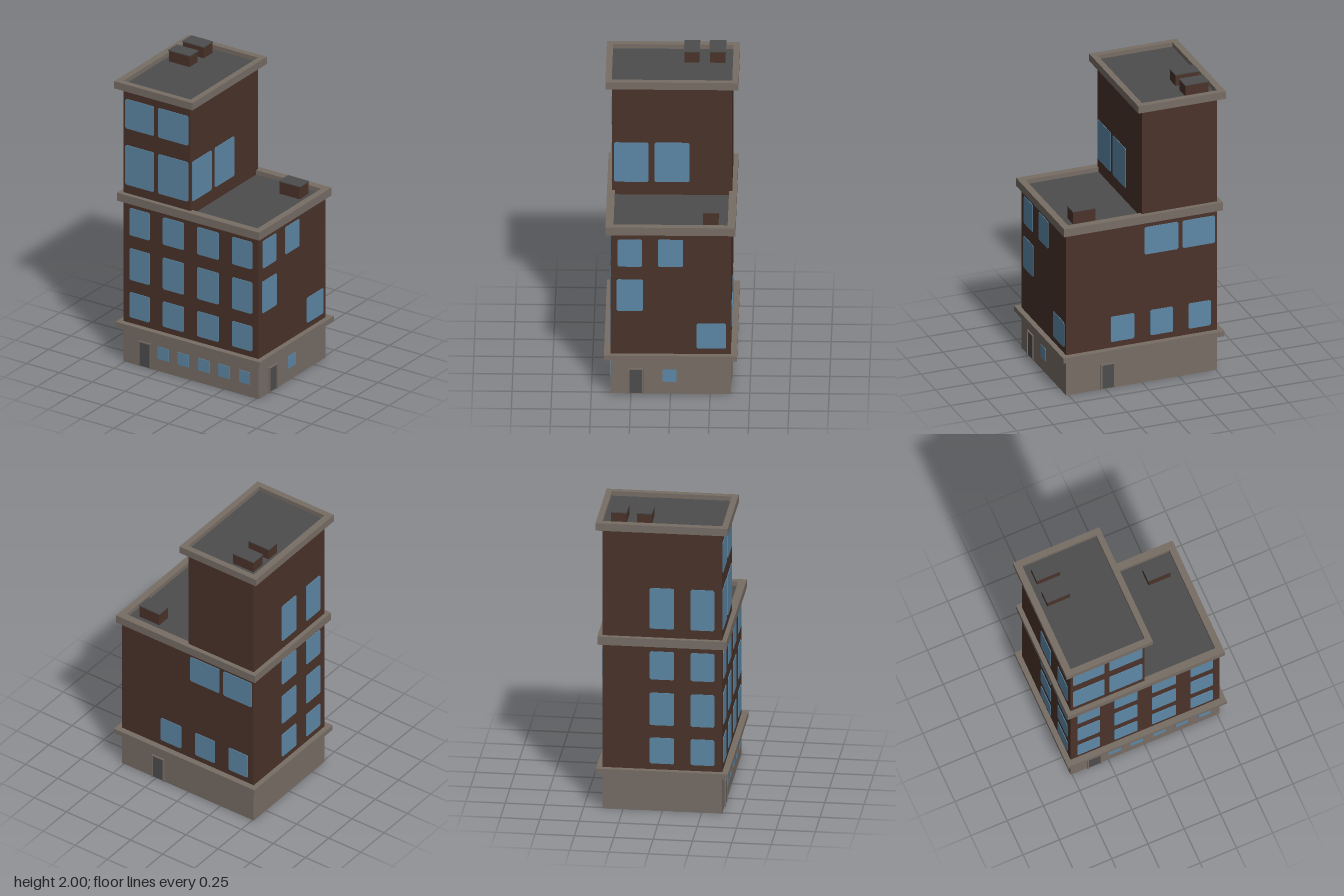
import * as THREE from 'three';

const mat = (name, color) => {
  const m = new THREE.MeshStandardMaterial({ color });
  m.name = name;
  return m;
};

export function createModel() {
  const brick = mat('brick', 0x4a332a);
  const stone = mat('stone', 0x776d65);
  const tar = mat('dark grey', 0x4d4d4d);
  const glass = mat('glass blue', 0x5d88a6);

  const model = new THREE.Group();
  model.name = 'building';

  const add = (name, geometry, material, parent = model) => {
    const mesh = new THREE.Mesh(geometry, material);
    mesh.name = name;
    parent.add(mesh);
    return mesh;
  };
  // Box given by its limits on each axis
  const box = (name, material, [x0, x1], [y0, y1], [z0, z1]) => {
    const mesh = add(name, new THREE.BoxGeometry(x1 - x0, y1 - y0, z1 - z0), material);
    mesh.position.set((x0 + x1) / 2, (y0 + y1) / 2, (z0 + z1) / 2);
    return mesh;
  };
  const rect = (C, x0, x1, z0, z1) => {
    const s = new C();
    s.moveTo(x0, -z1).lineTo(x1, -z1).lineTo(x1, -z0).lineTo(x0, -z0).closePath();
    return s;
  };
  // Hollow rectangular ledge: outer and inner limits are [x0, x1, z0, z1]
  const ledge = (name, y0, y1, outer, inner) => {
    const shape = rect(THREE.Shape, ...outer);
    shape.holes.push(rect(THREE.Path, ...inner));
    const g = new THREE.ExtrudeGeometry(shape, { depth: y1 - y0, bevelEnabled: false });
    g.rotateX(-Math.PI / 2).translate(0, y0, 0);
    return add(name, g, stone);
  };

  // Main masses; the underside of the base is brick
  box('base', [stone, stone, stone, brick, stone, stone], [-0.51, 0.515], [0, 0.26], [-0.38, 0.38]);
  box('middleFloors', brick, [-0.51, 0.515], [0.26, 1.13], [-0.38, 0.38]);
  box('tower', brick, [-0.51, 0], [1.13, 1.91], [-0.38, 0.38]);

  // Ledges and sunken roofs
  ledge('baseLedge', 0.245, 0.28, [-0.545, 0.55, -0.42, 0.42], [-0.5, 0.5, -0.37, 0.37]);
  ledge('lowerParapet', 1.12, 1.175, [-0.54, 0.54, -0.41, 0.41], [-0.49, 0.495, -0.36, 0.36]);
  ledge('towerParapet', 1.9, 1.95, [-0.555, 0.04, -0.42, 0.42], [-0.51, 0, -0.38, 0.38]);
  box('lowerRoof', tar, [-0.005, 0.5], [1.125, 1.145], [-0.365, 0.365]);
  box('towerRoof', tar, [-0.515, 0.005], [1.903, 1.92], [-0.385, 0.385]);

  // Roof vents with dark caps
  const vent = (x0, x1, z0, z1, y0, y1) => {
    box('roofVent', brick, [x0 + 0.004, x1 - 0.004], [y0, y1 - 0.006], [z0 + 0.004, z1 - 0.004]);
    box('ventCap', tar, [x0, x1], [y1 - 0.006, y1], [z0, z1]);
  };
  vent(-0.475, -0.31, -0.335, -0.23, 1.91, 2);
  vent(-0.475, -0.31, -0.17, -0.07, 1.91, 2);
  vent(0.28, 0.44, -0.305, -0.2, 1.13, 1.235);

  // Wall groups: local x runs along the wall, local z points outwards
  const wall = (name, x, z, turn) => {
    const g = new THREE.Group();
    g.name = name;
    g.position.set(x, 0, z);
    g.rotation.y = turn;
    model.add(g);
    return g;
  };
  const front = wall('frontWall', 0, 0.38, 0);
  const back = wall('backWall', 0, -0.38, Math.PI);
  const leftSide = wall('leftWall', 0.515, 0, Math.PI / 2);
  const rightSide = wall('rightWall', -0.51, 0, -Math.PI / 2);
  const tower = wall('towerLeftWall', 0, 0, Math.PI / 2);

  // Thin pane with clipped corners
  const pane = (parent, [a, b], [y0, y1], c = 0.008) => {
    const s = new THREE.Shape();
    s.moveTo(a + c, y0).lineTo(b - c, y0).lineTo(b, y0 + c).lineTo(b, y1 - c);
    s.lineTo(b - c, y1).lineTo(a + c, y1).lineTo(a, y1 - c).lineTo(a, y0 + c).closePath();
    add('window', new THREE.ExtrudeGeometry(s, { depth: 0.004, bevelEnabled: false }), glass, parent);
  };
  const panes = (parent, cols, rows, c) => {
    for (const col of cols) for (const row of rows) pane(parent, col, row, c);
  };
  // Door with a raised stone frame
  const door = (parent, a, b) => {
    const s = new THREE.Shape();
    const t = 0.008, h = 0.175;
    s.moveTo(a, 0).lineTo(a + t, 0).lineTo(a + t, h - t).lineTo(b - t, h - t);
    s.lineTo(b - t, 0).lineTo(b, 0).lineTo(b, h).lineTo(a, h).closePath();
    add('doorFrame', new THREE.ExtrudeGeometry(s, { depth: 0.009, bevelEnabled: false }), stone, parent);
    const leaf = add('door', new THREE.BoxGeometry(b - a - 2 * t, h - t - 0.004, 0.004), tar, parent);
    leaf.position.set((a + b) / 2, (h - t + 0.004) / 2, 0.002);
  };

  // Window rows from the street up
  const street = [0.085, 0.17], first = [0.32, 0.495], second = [0.58, 0.8];
  const third = [0.89, 1.08], fourth = [1.235, 1.51], fifth = [1.625, 1.83];

  panes(front, [[-0.463, -0.31], [-0.21, -0.05], [0.05, 0.215], [0.315, 0.468]], [first, second, third]);
  panes(front, [[-0.495, -0.278], [-0.245, -0.018]], [fourth, fifth]);
  panes(front, [[-0.25, -0.165], [-0.098, -0.013], [0.057, 0.145], [0.21, 0.298], [0.368, 0.452]], [street], 0.001);
  door(front, -0.395, -0.3);

  panes(back, [[0.017, 0.245], [0.275, 0.495]], [third]);
  panes(back, [[-0.213, -0.053], [0.055, 0.21], [0.315, 0.466]], [first]);
  door(back, -0.28, -0.185);

  panes(leftSide, [[-0.333, -0.18], [-0.08, 0.08]], [third]);
  pane(leftSide, [-0.34, -0.175], second);
  pane(leftSide, [0.165, 0.35], first);
  pane(leftSide, [-0.05, 0.037], street, 0.001);
  door(leftSide, -0.268, -0.172);

  panes(tower, [[-0.365, -0.148], [-0.11, 0.11]], [fourth]);
  panes(rightSide, [[-0.08, 0.075], [0.18, 0.33]], [first, second, third, fourth]);

  return model;
}
